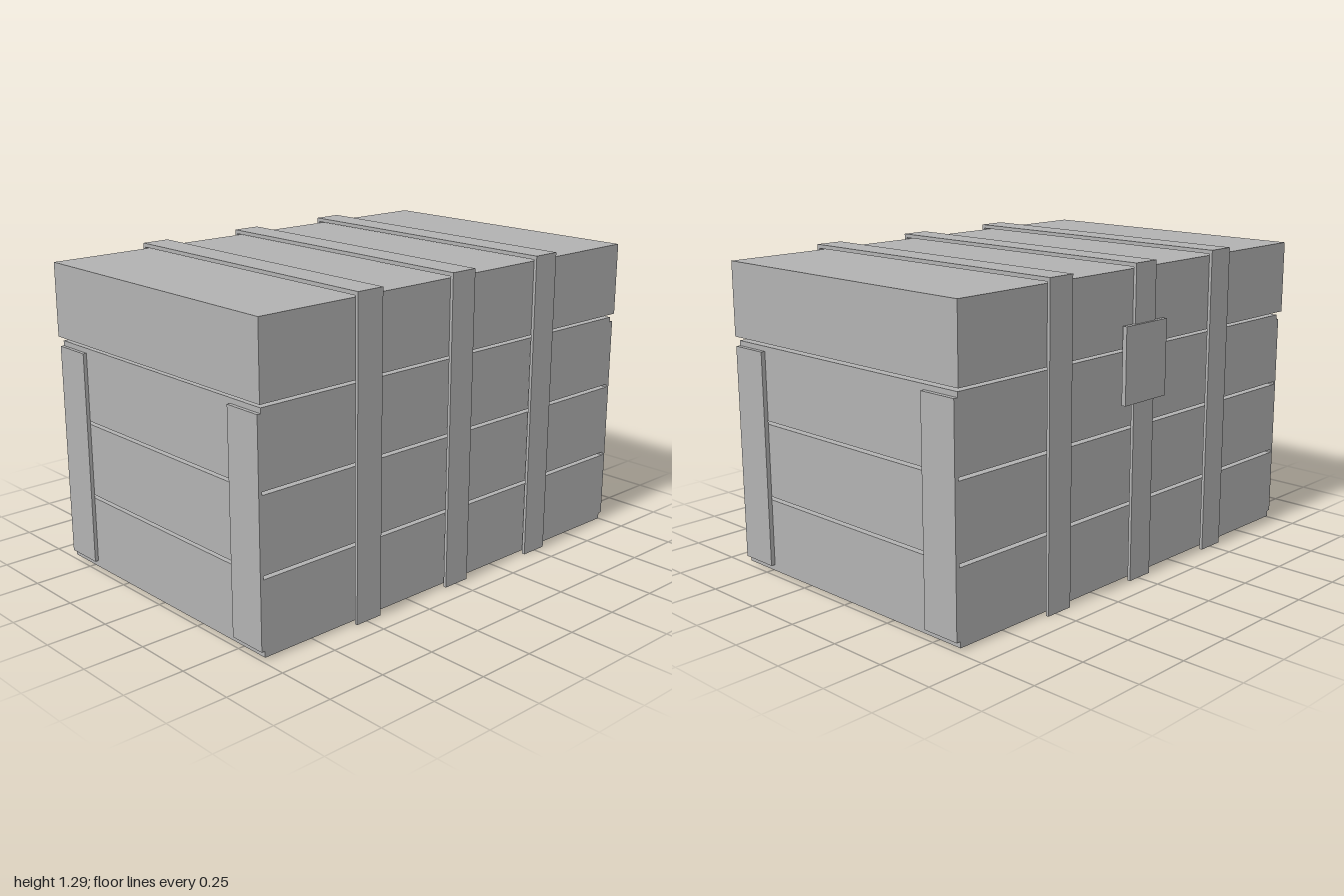
import * as THREE from 'three';

export function createModel() {
  const model = new THREE.Group();
  model.name = 'crate';
  const grey = new THREE.MeshStandardMaterial({ color: 0xb2b2b2 });
  grey.name = 'plain grey';

  // Box given by its extents on each axis
  function slab(name, [x0, x1], [y0, y1], [z0, z1], parent = model) {
    const mesh = new THREE.Mesh(new THREE.BoxGeometry(x1 - x0, y1 - y0, z1 - z0), grey);
    mesh.position.set((x0 + x1) / 2, (y0 + y1) / 2, (z0 + z1) / 2);
    mesh.name = name;
    parent.add(mesh);
  }

  // Base plate, three stacked plank layers and the lid, with open gaps between
  slab('basePlate', [-0.913, 0.908], [0, 0.012], [-0.555, 0.565]);
  const layers = [[0.01, 0.315], [0.329, 0.633], [0.646, 0.951]];
  for (const y of layers) slab('plankLayer', [-0.985, 0.98], y, [-0.624, 0.636]);
  slab('lid', [-0.998, 0.992], [0.967, 1.273], [-0.64, 0.648]);

  // Corner battens on both ends
  for (const x of [[-1, -0.985], [0.98, 0.998]]) {
    for (const z of [[0.469, 0.636], [-0.624, -0.456]]) slab('cornerBatten', x, [0.035, 0.93], z);
  }

  // Three straps running over the lid and down front and back
  for (const cx of [-0.495, -0.003, 0.487]) {
    const strap = new THREE.Group();
    strap.name = 'strap';
    const x = [cx - 0.062, cx + 0.062];
    slab('strapTop', x, [1.279, 1.295], [-0.655, 0.664], strap);
    slab('strapFront', x, [0.004, 1.279], [0.651, 0.664], strap);
    slab('strapBack', x, [0.004, 1.279], [-0.655, -0.642], strap);
    model.add(strap);
  }

  // Latch plate on the back
  slab('latchPlate', [-0.128, 0.122], [0.745, 1.058], [-0.664, -0.645]);

  return model;
}
